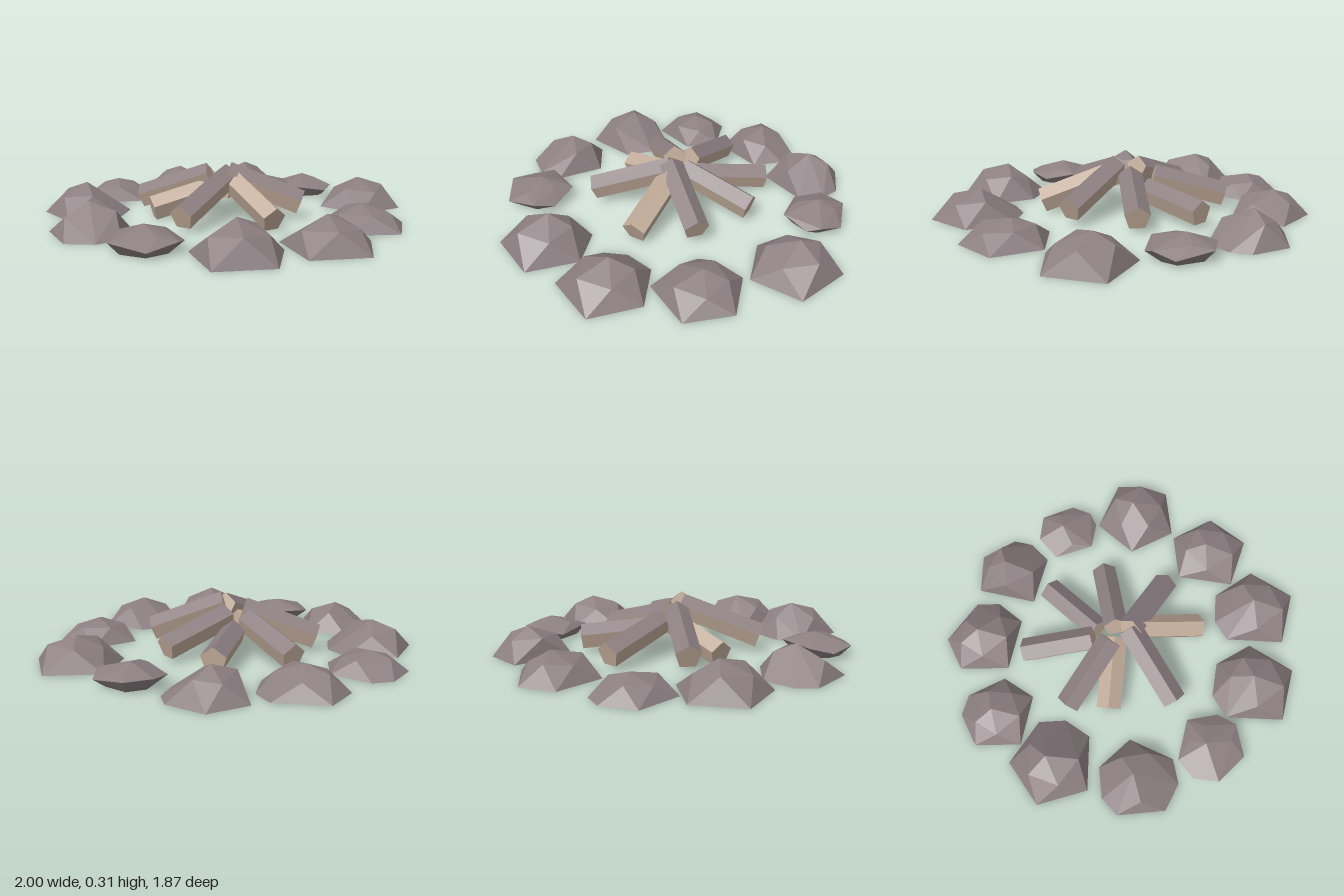
import * as THREE from 'three';
import { ConvexGeometry } from 'three/addons/geometries/ConvexGeometry.js';

const stoneMat = new THREE.MeshStandardMaterial({ color: 0x8c7f82, flatShading: true });
stoneMat.name = 'ashGrey';
const woodMat = new THREE.MeshStandardMaterial({ color: 0xc2ac9a, flatShading: true });
woodMat.name = 'bareWood';

const GROUND = 0.02;

// Faceted stone: flat base polygon (corner angles in degrees), upper ring, peak
function makeStone({ x, z, r, h, corners, undercut }) {
  const pts = [];
  const put = (deg, radius, y) => {
    const a = THREE.MathUtils.degToRad(deg);
    pts.push(new THREE.Vector3(Math.cos(a) * radius, y, Math.sin(a) * radius));
  };
  corners.forEach((deg, i) => {
    const next = i + 1 < corners.length ? corners[i + 1] : corners[0] + 360;
    if (undercut) {
      put(deg, r * 0.68, GROUND);
      put(deg, r, i % 2 ? 0.06 : 0.085);
    } else {
      put(deg, r, GROUND);
    }
    // upper ring only over the wider sides, to keep the facets large
    if (next - deg > 45) put((deg + next) / 2, r * 0.6, GROUND + (h - GROUND) * (i % 2 ? 0.6 : 0.72));
  });
  pts.push(new THREE.Vector3(-0.02, h, -0.02));
  const stone = new THREE.Mesh(new ConvexGeometry(pts), stoneMat);
  stone.position.set(x, 0, z);
  return stone;
}

// Five-sided log between two points, ridge up: ash on the two top faces
function makeLog({ outer, inner, bare }) {
  const a = new THREE.Vector3(...outer), b = new THREE.Vector3(...inner);
  const dir = b.clone().sub(a);
  const geo = new THREE.CylinderGeometry(0.07, 0.07, dir.length(), 5, 1).toNonIndexed();
  geo.computeVertexNormals();
  geo.clearGroups();
  for (let i = 0; i < 5; i++) geo.addGroup(i * 6, 6, !bare && (i === 0 || i === 4) ? 0 : 1);
  geo.addGroup(30, 30, 1);
  dir.normalize();
  const up = new THREE.Vector3(0, 1, 0).addScaledVector(dir, -dir.y).normalize();
  const side = new THREE.Vector3().crossVectors(dir, up);
  const log = new THREE.Mesh(geo, [stoneMat, woodMat]);
  log.quaternion.setFromRotationMatrix(new THREE.Matrix4().makeBasis(side, dir, up));
  log.position.copy(a).add(b).multiplyScalar(0.5);
  return log;
}

export function createModel() {
  const model = new THREE.Group();
  model.name = 'campfire';

  const stoneRing = new THREE.Group();
  stoneRing.name = 'stoneRing';
  [
    { x: -0.32, z: -0.735, r: 0.22, h: 0.18, corners: [-117, -59, -31, 7, 87, 183] },
    { x: 0.09, z: -0.78, r: 0.177, h: 0.14, corners: [-117, -50, -10, 14, 68, 145, 194], undercut: true },
    { x: 0.515, z: -0.67, r: 0.242, h: 0.18, corners: [-86, -9, 61, 130, 197] },
    { x: 0.74, z: -0.22, r: 0.235, h: 0.14, corners: [-120, -52, 13, 90, 173] },
    { x: 0.757, z: 0.23, r: 0.244, h: 0.175, corners: [-124, -59, 9, 85, 166, 196] },
    { x: 0.485, z: 0.6, r: 0.243, h: 0.2, corners: [-115, -60, 10, 85, 165, 199] },
    { x: 0.067, z: 0.757, r: 0.19, h: 0.14, corners: [-97, -42, -8, 47, 111, 152, 190], undercut: true },
    { x: -0.35, z: 0.687, r: 0.22, h: 0.18, corners: [-69, 3, 39, 81, 153, 184, 229] },
    { x: -0.69, z: 0.365, r: 0.24, h: 0.185, corners: [-79, -43, -4, 71, 142, 212] },
    { x: -0.81, z: -0.025, r: 0.21, h: 0.13, corners: [-116, -53, 3, 85, 158, 212] },
    { x: -0.655, z: -0.46, r: 0.225, h: 0.16, corners: [-75, -42, 4, 85, 159, 211] },
  ].forEach((spec, i) => {
    const stone = makeStone(spec);
    stone.name = `stone${i + 1}`;
    stoneRing.add(stone);
  });
  model.add(stoneRing);

  // Logs leaning together; the bare ones lie underneath
  const logPile = new THREE.Group();
  logPile.name = 'logPile';
  [
    { outer: [0.04, 0.1, 0.44], inner: [0.03, 0.25, 0.0] },
    { outer: [0.41, 0.08, 0.15], inner: [0.04, 0.23, -0.01], bare: true },
    { outer: [0.39, 0.11, -0.17], inner: [0.03, 0.26, 0.01] },
    { outer: [0.13, 0.1, -0.43], inner: [-0.02, 0.21, -0.06] },
    { outer: [-0.2, 0.1, -0.5], inner: [-0.1, 0.14, -0.12] },
    { outer: [-0.51, 0.1, -0.25], inner: [-0.16, 0.2, -0.07] },
    { outer: [-0.46, 0.1, 0.15], inner: [-0.09, 0.24, 0.0] },
    { outer: [-0.28, 0.075, 0.28], inner: [-0.05, 0.17, -0.02], bare: true },
  ].forEach((spec, i) => {
    const log = makeLog(spec);
    log.name = `log${i + 1}`;
    logPile.add(log);
  });
  model.add(logPile);

  return model;
}
